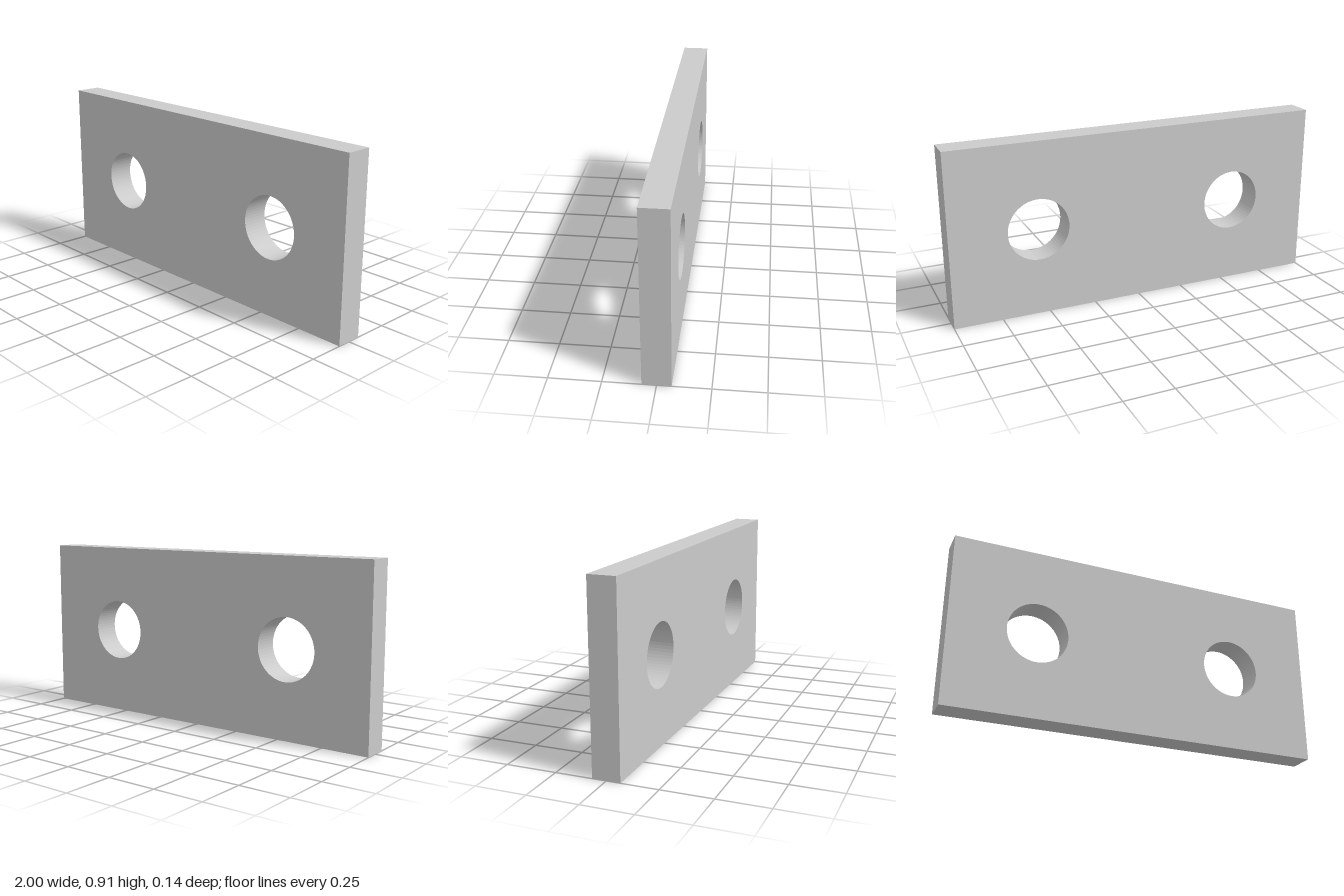
import * as THREE from 'three';

const WIDTH = 2, HEIGHT = 0.91, DEPTH = 0.137;
const HOLE_X = 0.545, HOLE_RADIUS = 0.16;

export function createModel() {
  const group = new THREE.Group();
  group.name = 'mountingPlate';

  // Rectangular outline standing on the ground
  const outline = new THREE.Shape([
    new THREE.Vector2(-WIDTH / 2, 0),
    new THREE.Vector2(WIDTH / 2, 0),
    new THREE.Vector2(WIDTH / 2, HEIGHT),
    new THREE.Vector2(-WIDTH / 2, HEIGHT),
  ]);

  // Two mirrored through holes at mid height
  for (const side of [-1, 1]) {
    const hole = new THREE.Path();
    hole.absarc(side * HOLE_X, HEIGHT / 2, HOLE_RADIUS, 0, Math.PI * 2, true);
    outline.holes.push(hole);
  }

  // Plate, centred in depth
  const geometry = new THREE.ExtrudeGeometry(outline, {
    depth: DEPTH, bevelEnabled: false, curveSegments: 32,
  });
  geometry.translate(0, 0, -DEPTH / 2);

  const plate = new THREE.Mesh(geometry, new THREE.MeshStandardMaterial({ color: 0xcccccc }));
  plate.name = 'plate';
  group.add(plate);
  return group;
}
